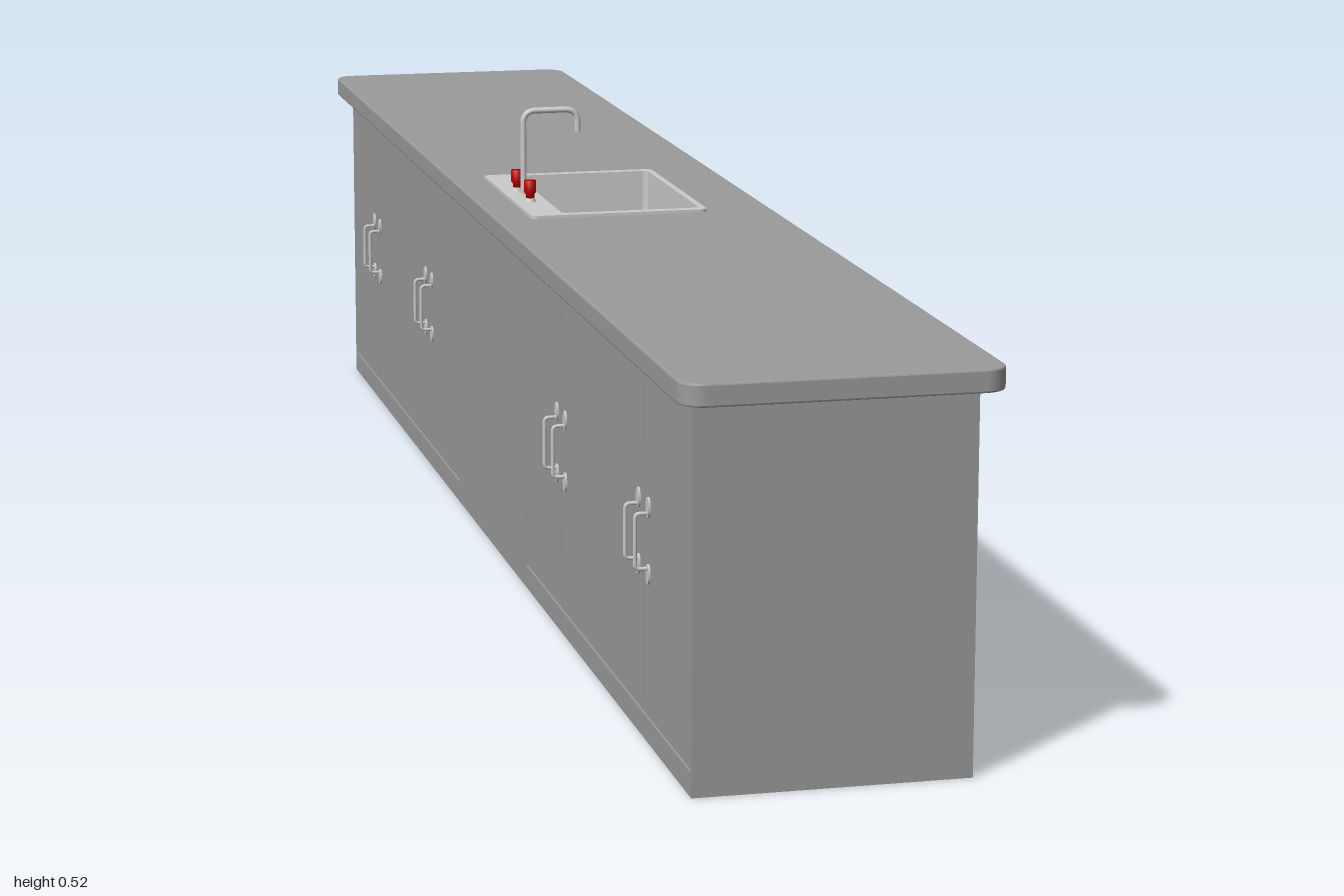
import * as THREE from 'three';

const steel = new THREE.MeshStandardMaterial({ color: 0xcccccc });
const darkGrey = new THREE.MeshStandardMaterial({ color: 0x9b9b9b });
const red = new THREE.MeshStandardMaterial({ color: 0xbb0000 });

function add(parent, name, geometry, material) {
  const mesh = new THREE.Mesh(geometry, material);
  mesh.name = name;
  parent.add(mesh);
  return mesh;
}

// Box given by its limits on each axis
function block(parent, name, material, x0, x1, y0, y1, z0, z1) {
  const mesh = add(parent, name, new THREE.BoxGeometry(x1 - x0, y1 - y0, z1 - z0), material);
  mesh.position.set((x0 + x1) / 2, (y0 + y1) / 2, (z0 + z1) / 2);
}

// Rounded rectangle in plan; the shape's y axis becomes -z
function plan(Type, x0, x1, z0, z1, r) {
  const p = new Type();
  const a = -z1, b = -z0;
  p.moveTo(x0 + r, a);
  p.lineTo(x1 - r, a);
  p.absarc(x1 - r, a + r, r, -Math.PI / 2, 0, false);
  p.lineTo(x1, b - r);
  p.absarc(x1 - r, b - r, r, 0, Math.PI / 2, false);
  p.lineTo(x0 + r, b);
  p.absarc(x0 + r, b - r, r, Math.PI / 2, Math.PI, false);
  p.lineTo(x0, a + r);
  p.absarc(x0 + r, a + r, r, Math.PI, Math.PI * 1.5, false);
  return p;
}

// Horizontal slab with a cut-out, between two heights
function slab(parent, name, material, outer, hole, y0, y1, bevel) {
  outer.holes.push(hole);
  const geometry = new THREE.ExtrudeGeometry(outer, {
    depth: y1 - y0 - 2 * bevel, bevelEnabled: bevel > 0, bevelThickness: bevel,
    bevelSize: bevel, bevelOffset: -bevel, bevelSegments: 2, curveSegments: 8,
  });
  geometry.rotateX(-Math.PI / 2);
  add(parent, name, geometry, material).position.y = y0 + bevel;
}

// Path of straight runs joined by rounded corners
function roundedPath(points, r) {
  const path = new THREE.CurvePath();
  let from = points[0];
  for (let i = 1; i < points.length - 1; i++) {
    const p = points[i];
    const a = p.clone().add(points[i - 1].clone().sub(p).setLength(r));
    const b = p.clone().add(points[i + 1].clone().sub(p).setLength(r));
    path.add(new THREE.LineCurve3(from, a));
    path.add(new THREE.QuadraticBezierCurve3(a, p, b));
    from = b;
  }
  path.add(new THREE.LineCurve3(from, points[points.length - 1]));
  return path;
}

const v = (x, y, z = 0) => new THREE.Vector3(x, y, z);

// Bail handle standing out along +x, with a rosette at each end
function handle() {
  const g = new THREE.Group();
  g.name = 'handle';
  const path = roundedPath([v(0, 0.18), v(0.0145, 0.18), v(0.0145, 0.236), v(0, 0.236)], 0.005);
  add(g, 'handleBail', new THREE.TubeGeometry(path, 48, 0.002, 8), steel);
  for (const y of [0.174, 0.242]) {
    const rosette = add(g, 'handleRosette', new THREE.CylinderGeometry(0.0065, 0.0065, 0.0025, 16), steel);
    rosette.rotation.z = Math.PI / 2;
    rosette.scale.x = 1.6;
    rosette.position.set(0.001, y, 0);
  }
  return g;
}

// One long face of the cabinet, facing +x, with fine deep gaps round the doors
function cabinetFace() {
  const g = new THREE.Group();
  g.name = 'cabinetFace';
  const gap = 0.0015, out = 0.14, back = 0.12;
  block(g, 'carcassSide', darkGrey, 0.11, back, 0, 0.387, -0.95, 0.97);
  block(g, 'plinth', darkGrey, back, out, 0, 0.025, -0.95, 0.97);
  block(g, 'middlePanel', darkGrey, back, out, 0.025, 0.387, -0.19 + gap, 0.21 - gap);
  for (const start of [-0.95, 0.21]) {
    for (let i = 0; i < 4; i++) {
      const z = start + i * 0.19;
      block(g, 'door', darkGrey, back, out, 0.028, 0.386, z + gap, z + 0.19 - gap);
      // Handles sit beside the edge where a pair of doors meets
      const h = handle();
      h.position.set(out, 0, i % 2 ? z + 0.021 : z + 0.169);
      g.add(h);
    }
  }
  return g;
}

export function createModel() {
  const model = new THREE.Group();
  model.name = 'kitchenIsland';

  // Cabinet, with the same doors on both long sides
  const cabinet = new THREE.Group();
  cabinet.name = 'cabinet';
  cabinet.position.x = -0.003;
  model.add(cabinet);
  block(cabinet, 'cabinetBottom', darkGrey, -0.139, 0.139, 0, 0.02, -0.95, 0.97);
  block(cabinet, 'endPanelFront', darkGrey, -0.14, 0.14, 0, 0.387, 0.97, 0.973);
  block(cabinet, 'endPanelBack', darkGrey, -0.14, 0.14, 0, 0.387, -0.953, -0.95);
  cabinet.add(cabinetFace());
  const opposite = cabinetFace();
  opposite.rotation.y = Math.PI;
  opposite.position.z = 0.02;
  cabinet.add(opposite);

  // Worktop with a cut-out for the sink
  slab(model, 'worktop', darkGrey, plan(THREE.Shape, -0.16, 0.16, -1, 1, 0.025),
    plan(THREE.Path, -0.086, 0.081, -0.127, 0.133, 0.008), 0.386, 0.409, 0.002);

  // Sink
  const sink = new THREE.Group();
  sink.name = 'sink';
  model.add(sink);
  const opening = () => plan(THREE.Path, -0.083, 0.077, -0.124, 0.13, 0.007);
  slab(sink, 'sinkRim', steel, plan(THREE.Shape, -0.121, 0.084, -0.136, 0.142, 0.008),
    opening(), 0.407, 0.4125, 0);
  slab(sink, 'basinWalls', steel, plan(THREE.Shape, -0.087, 0.081, -0.128, 0.134, 0.008),
    opening(), 0.335, 0.411, 0);
  block(sink, 'basinFloor', steel, -0.085, 0.079, 0.335, 0.34, -0.126, 0.132);

  // Tap with a bent spout
  const tap = new THREE.Group();
  tap.name = 'tap';
  tap.position.set(-0.103, 0.412, 0.012);
  model.add(tap);
  const spout = roundedPath([v(0, 0), v(0, 0.1), v(0.064, 0.1), v(0.064, 0.074)], 0.015);
  add(tap, 'spout', new THREE.TubeGeometry(spout, 64, 0.0035, 12),
    new THREE.MeshStandardMaterial({ color: 0xcccccc, side: THREE.DoubleSide }));
  const foot = add(tap, 'spoutFoot', new THREE.CylinderGeometry(0.006, 0.007, 0.004, 16), steel);
  foot.position.y = 0.002;

  // Red tap knobs on short stems
  const profile = [[0, 0.003], [0.005, 0.003], [0.005, 0.009], [0.0072, 0.012], [0.0072, 0.025], [0, 0.025]]
    .map(([x, y]) => new THREE.Vector2(x, y));
  for (const z of [-0.037, 0.037]) {
    const stem = add(tap, 'knobStem', new THREE.CylinderGeometry(0.005, 0.007, 0.005, 16), steel);
    stem.position.set(0, 0.0025, z);
    const knob = add(tap, 'knob', new THREE.LatheGeometry(profile, 12), red);
    knob.position.z = z;
  }
  return model;
}
